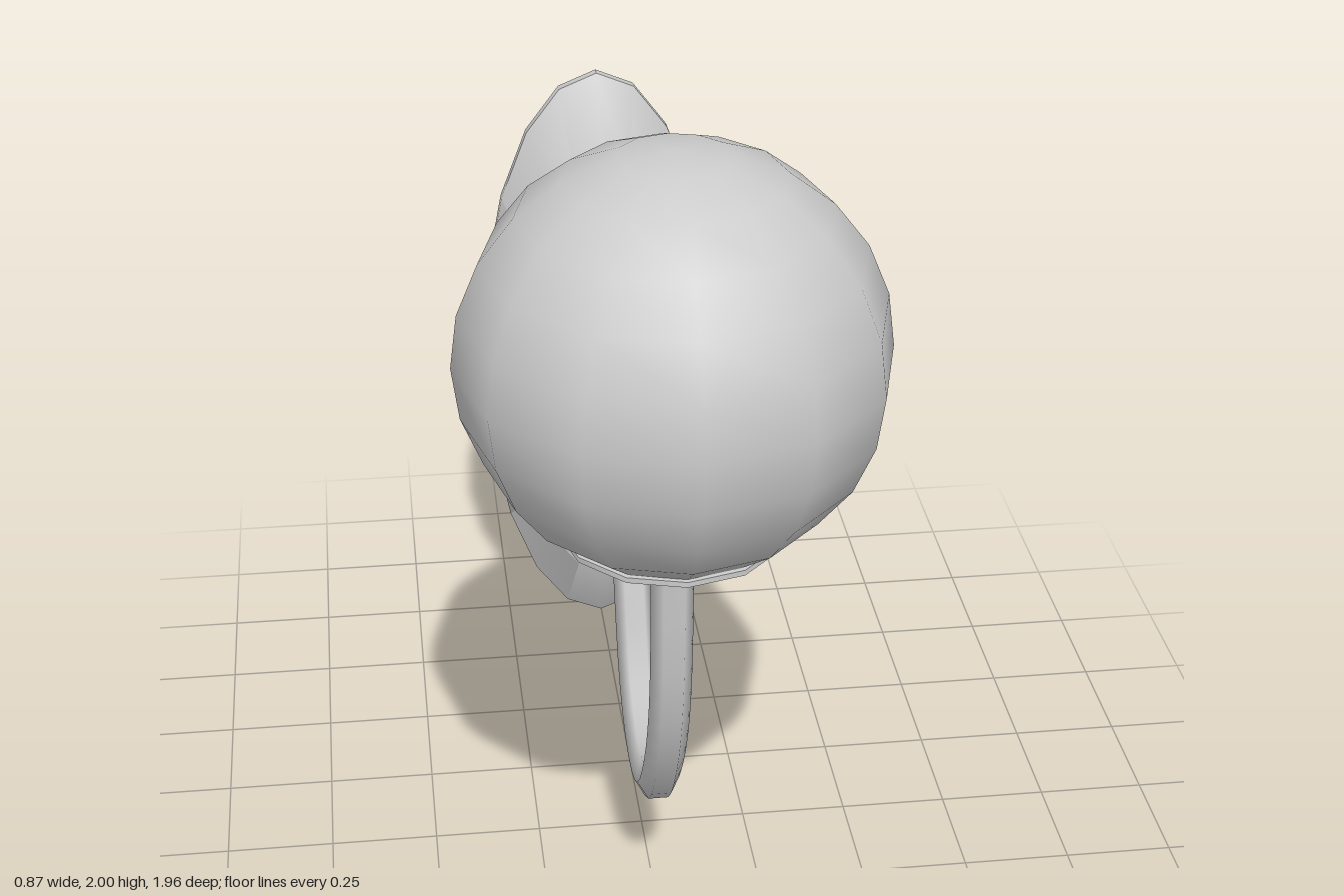
import * as THREE from 'three';
import { toCreasedNormals } from 'three/addons/utils/BufferGeometryUtils.js';

const CREASE = 0.7;

// Turned part from [radius, height] pairs listed bottom to top
function turned(profile, sides) {
  const points = profile.map(([r, h]) => new THREE.Vector2(r, h));
  return new THREE.LatheGeometry(points, sides, Math.PI / 2);
}

export function createModel() {
  const group = new THREE.Group();
  const material = new THREE.MeshStandardMaterial({ color: 0xcccccc });
  const thin = new THREE.MeshStandardMaterial({ color: 0xcccccc, side: THREE.DoubleSide });
  const add = (name, geometry, mat = material) => {
    const mesh = new THREE.Mesh(geometry, mat);
    mesh.name = name;
    group.add(mesh);
    return mesh;
  };

  // Oval wall plate: a shallow dish, hollow at the back
  const plate = turned([[1, -0.982], [1, -0.957], [0.755, -0.845], [0, -0.845]], 20);
  plate.rotateX(Math.PI / 2).scale(0.3, 0.785, 1).translate(0, 0.79, 0);
  add('wallPlate', toCreasedNormals(plate, CREASE), thin);

  // Tapered hub where the arm leaves the plate
  const hub = turned([[0.15, -0.845], [0.11, -0.755], [0, -0.755]], 10);
  hub.rotateX(Math.PI / 2).translate(0, 0.79, 0);
  add('hub', toCreasedNormals(hub, CREASE));

  // Swan-neck arm, as [z, y] points from the hub to the cup
  const path = [
    [-0.80, 0.782], [-0.58, 0.782], [-0.43, 0.77], [-0.31, 0.735], [-0.245, 0.68],
    [-0.2, 0.605], [-0.15, 0.5], [-0.095, 0.405], [-0.02, 0.335], [0.06, 0.302],
    [0.165, 0.295], [0.245, 0.318], [0.325, 0.373], [0.395, 0.457], [0.457, 0.555],
    [0.503, 0.66], [0.532, 0.78], [0.543, 0.9], [0.545, 1.1],
  ].map(([z, y]) => new THREE.Vector3(0, y, z));
  add('arm', new THREE.TubeGeometry(new THREE.CatmullRomCurve3(path), 32, 0.045, 6), thin);

  // Cup and collar under the globe
  const cup = turned([
    [0, 1.08], [0.052, 1.08], [0.078, 1.125], [0.12, 1.13],
    [0.235, 1.178], [0.235, 1.19], [0, 1.19],
  ], 12);
  add('cup', toCreasedNormals(cup, CREASE)).position.z = 0.545;

  // Globe shade
  add('globe', new THREE.SphereGeometry(0.437, 12, 12)).position.set(0, 1.564, 0.545);

  return group;
}
